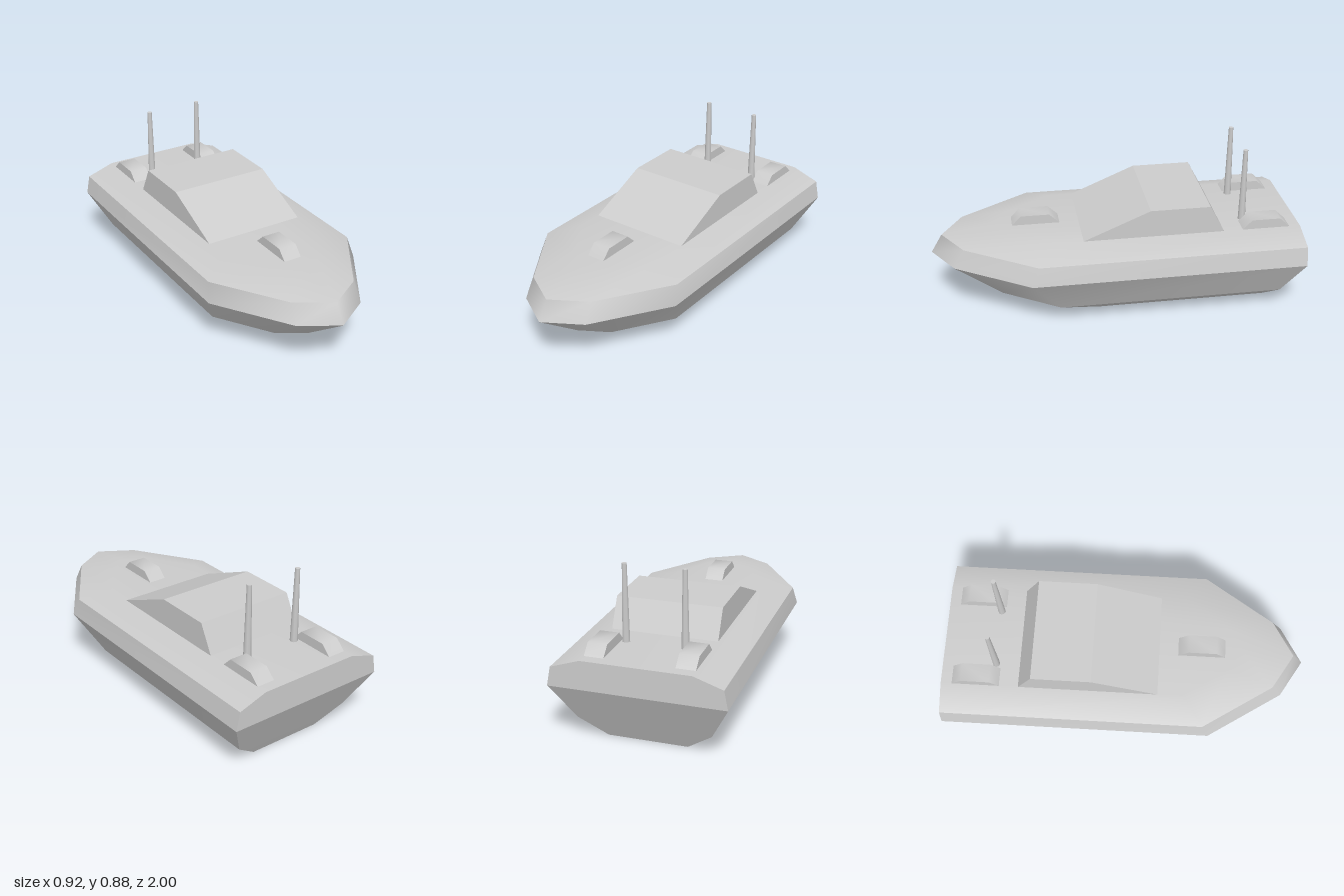
import * as THREE from 'three';
import { toCreasedNormals } from 'three/addons/utils/BufferGeometryUtils.js';

const grey = () => new THREE.MeshStandardMaterial({ color: 0xcccccc });

function add(group, name, geometry) {
  const mesh = new THREE.Mesh(geometry, grey());
  mesh.name = name;
  group.add(mesh);
  return mesh;
}

// Horizontal hull section: stern +x, around the bow, to stern -x
function section(y, halfWidth, stern, tip) {
  const k = halfWidth / 0.46;
  const side = [[0.46 * k, stern], [0.46 * k, tip - 0.52 * k], [0.2 * k, tip - 0.12 * k]];
  return [...side, [0, tip], ...side.slice().reverse().map(([x, z]) => [-x, z])]
    .map(([x, z]) => [x, y, z]);
}

function mesh3(points, index) {
  const g = new THREE.BufferGeometry();
  g.setAttribute('position', new THREE.Float32BufferAttribute(points.flat(), 3));
  g.setIndex(index);
  g.computeVertexNormals();
  return g;
}

// Band of plating between two sections, optionally closed by a flat deck
function band(low, high, deck = false) {
  const n = low.length, index = [];
  for (let i = 0; i < n - 1; i++) {
    index.push(i, n + i, i + 1, n + i, n + i + 1, i + 1);
    if (deck && i > 0) index.push(n, n + i + 1, n + i);
  }
  return mesh3([...low, ...high], index);
}

// Side profile of [z, y] points, extruded across the width and centred on x
function profile(points, width) {
  const shape = new THREE.Shape(points.map(([z, y]) => new THREE.Vector2(z, y)));
  return new THREE.ExtrudeGeometry(shape, { depth: width, bevelEnabled: false })
    .translate(0, 0, -width / 2)
    .rotateY(-Math.PI / 2);
}

export function createModel() {
  const boat = new THREE.Group();
  boat.name = 'boat';
  const deckY = 0.467;

  // Hull, from keel to deck
  const hull = new THREE.Group();
  hull.name = 'hull';
  boat.add(hull);
  const rings = [
    section(0, 0.21, -0.84, 0.33),
    section(0.105, 0.35, -0.894, 0.72),
    section(0.312, 0.46, -1, 1),
    section(0.415, 0.44, -1, 0.94),
    section(deckY, 0.285, -1, 0.65),
  ];
  ['lowerHull', 'upperHull', 'rail', 'deck'].forEach((name, i) =>
    add(hull, name, band(rings[i], rings[i + 1], name === 'deck')));

  // Flat bottom
  const fan = [];
  for (let i = 1; i < 6; i++) fan.push(0, i, i + 1);
  add(hull, 'bottom', mesh3(rings[0], fan));

  // Transom: sloping below the rail, upright above it
  const transom = (name, levels) => {
    const points = levels.flatMap(r => [r[0], r[6]]), index = [];
    for (let i = 0; i < levels.length - 1; i++) {
      const a = 2 * i;
      index.push(a, a + 1, a + 2, a + 1, a + 3, a + 2);
    }
    add(hull, name, mesh3(points, index));
  };
  transom('lowerTransom', rings.slice(0, 3));
  transom('upperTransom', rings.slice(2));

  // Cabin with a raked windscreen
  add(boat, 'cabin', profile([[0.19, deckY], [-0.17, 0.62], [-0.495, 0.62], [-0.575, deckY]], 0.57));

  // Deck hatches: one forward, two aft
  const hatch = toCreasedNormals(
    profile([[0.13, 0], [0.08, 0.052], [-0.075, 0.052], [-0.13, 0]], 0.102), 1.0);
  for (const [name, x, z] of [
    ['frontHatch', 0, 0.425], ['leftRearHatch', 0.234, -0.81], ['rightRearHatch', -0.234, -0.81],
  ]) add(boat, name, hatch).position.set(x, deckY, z);

  // Tapered masts
  const height = 0.88 - deckY;
  for (const side of [1, -1]) {
    add(boat, side > 0 ? 'leftMast' : 'rightMast', new THREE.CylinderGeometry(0.013, 0.021, height, 8))
      .position.set(side * 0.156, deckY + height / 2, -0.705);
  }
  return boat;
}
